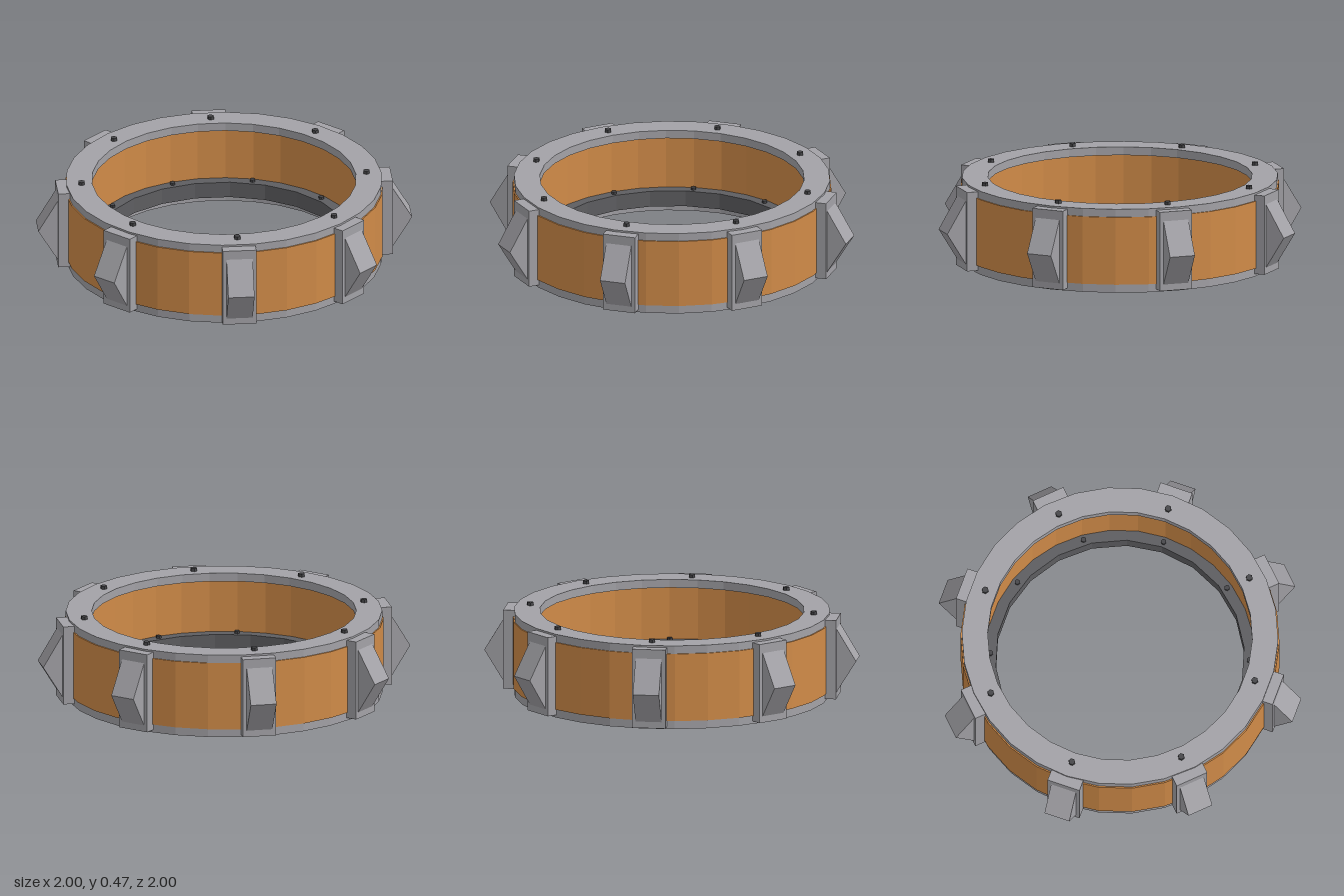
import * as THREE from 'three';

export function createModel() {
  const model = new THREE.Group();
  model.name = 'spikedRing';

  const material = (name, color) => {
    const m = new THREE.MeshStandardMaterial({ color });
    m.name = name;
    return m;
  };
  const steel = material('steel grey', 0xa3a2a7);
  const copper = material('copper orange', 0xd08b48);
  const darkSteel = material('dark steel', 0x5e5e61);
  const boltMetal = material('bolt metal', 0x48484b);

  const add = (parent, name, geometry, mat) => {
    const mesh = new THREE.Mesh(geometry, mat);
    mesh.name = name;
    parent.add(mesh);
    return mesh;
  };

  // Faceted ring with a rectangular cross-section
  const ring = (inner, outer, bottom, top, sides) => {
    const profile = [
      [outer, bottom], [outer, top], [inner, top], [inner, bottom], [outer, bottom],
    ].map(([r, y]) => new THREE.Vector2(r, y));
    const g = new THREE.LatheGeometry(profile, sides, Math.PI / 2).toNonIndexed();
    g.computeVertexNormals();
    return g;
  };

  // Band, rims and inner flange
  add(model, 'band', ring(0.72, 0.85, 0.045, 0.412, 30), copper);
  add(model, 'bottomRim', ring(0.705, 0.843, 0, 0.05, 30), steel);
  add(model, 'topRim', ring(0.705, 0.843, 0.41, 0.455, 30), steel);
  add(model, 'innerFlange', ring(0.663, 0.73, 0.04, 0.127, 22), darkSteel);

  // Circles of hexagonal bolts
  const boltCircle = (name, count, radius, y, size) => {
    const group = new THREE.Group();
    group.name = name;
    for (let i = 0; i < count; i++) {
      const a = (i / count) * Math.PI * 2;
      const g = new THREE.CylinderGeometry(size, size, 0.02, 6).toNonIndexed();
      g.computeVertexNormals();
      add(group, 'bolt', g, boltMetal)
        .position.set(Math.cos(a) * radius, y, Math.sin(a) * radius);
    }
    model.add(group);
  };
  boltCircle('topBolts', 8, 0.762, 0.462, 0.018);
  boltCircle('flangeBolts', 10, 0.69, 0.13, 0.015);

  // Wedge spike: triangle in radius and height, extruded across its width
  const wedge = new THREE.Shape([
    new THREE.Vector2(0.88, 0.05),
    new THREE.Vector2(0.895, 0.05),
    new THREE.Vector2(1, 0.22),
    new THREE.Vector2(0.895, 0.395),
    new THREE.Vector2(0.88, 0.395),
  ]);
  const wedgeGeometry = new THREE.ExtrudeGeometry(wedge, { depth: 0.14, bevelEnabled: false });
  wedgeGeometry.translate(0, 0, -0.07);
  const padGeometry = new THREE.BoxGeometry(0.07, 0.43, 0.18);
  padGeometry.translate(0.86, 0.23, 0);

  // Eight mounting pads with their spikes
  for (let i = 0; i < 8; i++) {
    const spike = new THREE.Group();
    spike.name = 'spikeMount';
    spike.rotation.y = (i * Math.PI) / 4;
    add(spike, 'pad', padGeometry, steel);
    add(spike, 'spike', wedgeGeometry, steel);
    model.add(spike);
  }

  return model;
}
